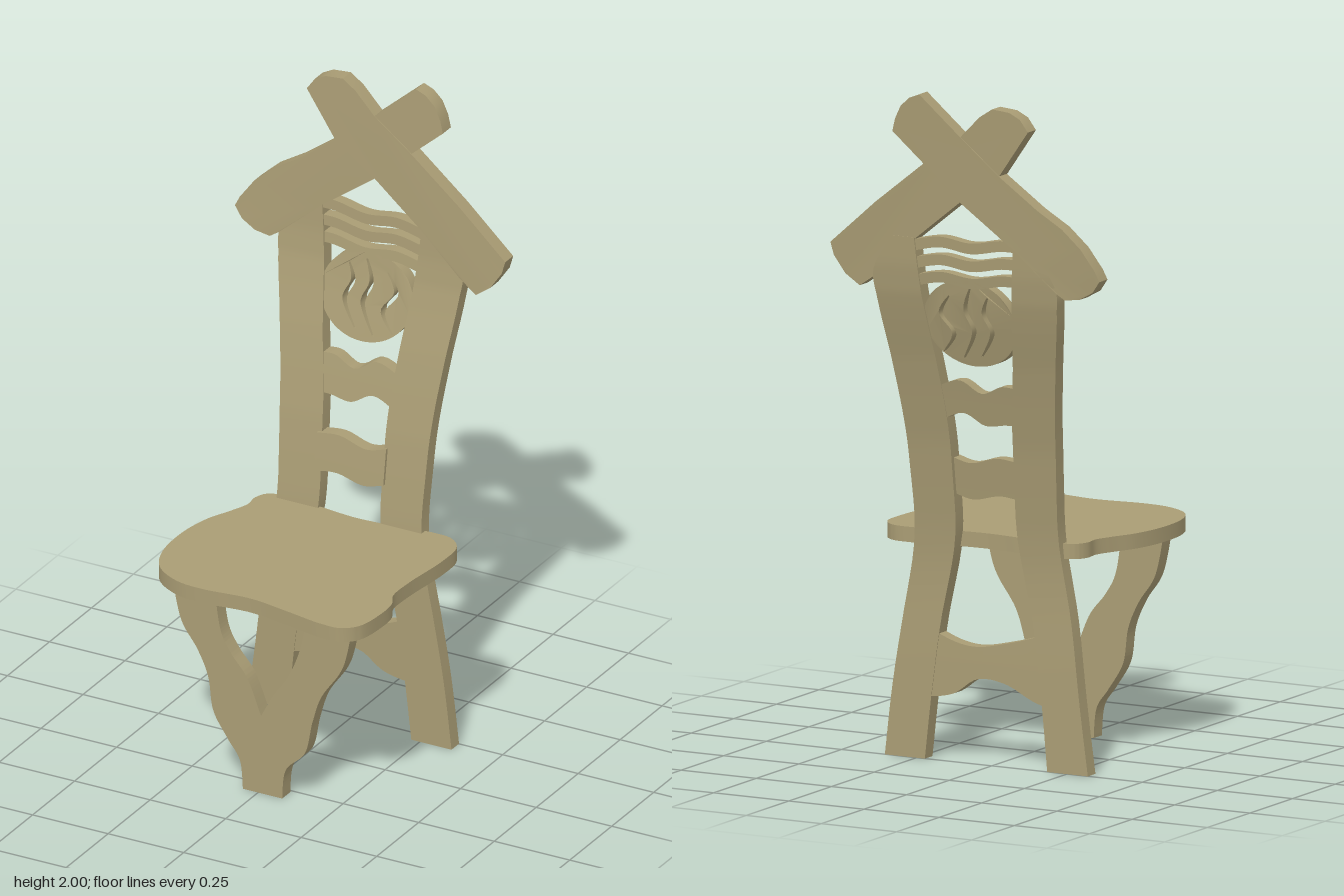
import * as THREE from 'three';
import { toCreasedNormals } from 'three/addons/utils/BufferGeometryUtils.js';

const wood = new THREE.MeshStandardMaterial({ color: 0xa99c74 });
const T = 0.045; // board thickness

// Centre line of the backrest in side view: [y, z]
const spine = [[0, -0.229], [0.3, -0.226], [0.5, -0.221], [0.6, -0.223], [0.7, -0.233], [0.82, -0.25],
  [0.95, -0.27], [1.08, -0.298], [1.2, -0.325], [1.32, -0.358], [1.4, -0.377], [1.48, -0.388], [2, -0.42]];

function spineZ(y) {
  let i = 0;
  while (i < spine.length - 2 && y > spine[i + 1][0]) i++;
  const [y0, z0] = spine[i], [y1, z1] = spine[i + 1];
  return z0 + (z1 - z0) * (y - y0) / (y1 - y0);
}

function addMesh(parent, name, geometry, crease = 0.6) {
  const mesh = new THREE.Mesh(toCreasedNormals(geometry, crease), wood);
  mesh.name = name;
  parent.add(mesh);
  return mesh;
}

// Move every vertex by a rule
function warp(geometry, rule) {
  const p = geometry.attributes.position, v = new THREE.Vector3();
  for (let i = 0; i < p.count; i++) {
    rule(v.fromBufferAttribute(p, i));
    p.setXYZ(i, v.x, v.y, v.z);
  }
  return geometry;
}

const bend = (g, shift = 0) => warp(g, v => { v.z += spineZ(v.y) + shift; });
const vec2 = pts => pts.map(([x, y]) => new THREE.Vector2(x, y));

function extrude(shape, depth = T) {
  return new THREE.ExtrudeGeometry(shape, { depth, bevelEnabled: false, curveSegments: 40 })
    .translate(0, 0, -depth / 2);
}

// Smooth curve through [s, low, high] cross-sections
const sectionCurve = rows => new THREE.CatmullRomCurve3(rows.map(r => new THREE.Vector3(...r)));

// Upright post from rows of [y, left x, right x]
function post(rows) {
  const curve = sectionCurve(rows);
  const g = warp(new THREE.BoxGeometry(1, 1, T, 1, 48, 1), v => {
    const s = curve.getPoint(v.y + 0.5);
    v.set(THREE.MathUtils.lerp(s.y, s.z, v.x + 0.5), s.x, v.z);
  });
  return bend(g);
}

// Cross slat from rows of [x, bottom y, top y]
function slat(rows, shift = 0, depth = T - 0.004) {
  const curve = sectionCurve(rows);
  const g = warp(new THREE.BoxGeometry(1, 1, depth, 24, 4, 1), v => {
    const s = curve.getPoint(v.x + 0.5);
    v.set(s.x, THREE.MathUtils.lerp(s.y, s.z, v.y + 0.5), v.z);
  });
  return bend(g, shift);
}

// Wavy slit outline around a centre line
function slit(pts) {
  const mid = new THREE.SplineCurve(vec2(pts)).getPoints(16), n = mid.length - 1;
  const side = s => mid.map((p, i) => new THREE.Vector2(p.x + s * 0.008 * Math.sin(Math.PI * (0.1 + 0.8 * i / n)), p.y));
  return new THREE.Path([...side(-1), ...side(1).reverse()]);
}

export function createModel() {
  const chair = new THREE.Group();
  chair.name = 'chair';
  const back = new THREE.Group();
  back.name = 'backrest';
  chair.add(back);

  // Seat: free-form plank
  const outline = [[-0.28, -0.18], [-0.278, -0.13], [-0.3, -0.07], [-0.335, 0.01], [-0.355, 0.13], [-0.343, 0.265],
    [-0.3, 0.35], [-0.215, 0.402], [-0.13, 0.412], [0.025, 0.398], [0.158, 0.419], [0.28, 0.441], [0.345, 0.439],
    [0.387, 0.4], [0.404, 0.3], [0.4, 0.23], [0.377, 0.18], [0.377, 0.085], [0.394, -0.085], [0.387, -0.18],
    [0.345, -0.224], [0.28, -0.231], [0.18, -0.217], [0.04, -0.206], [-0.08, -0.218], [-0.22, -0.231], [-0.262, -0.217]];
  const seatCurve = new THREE.CatmullRomCurve3(outline.map(([x, z]) => new THREE.Vector3(x, -z, 0)), true);
  const seatShape = new THREE.Shape(seatCurve.getPoints(160).map(p => new THREE.Vector2(p.x, p.y)));
  addMesh(chair, 'seat', extrude(seatShape).rotateX(-Math.PI / 2).translate(0, 0.6515, 0));

  // Front leg: one V-shaped board
  const v = new THREE.Shape();
  v.moveTo(-0.285, 0.635);
  v.splineThru(vec2([[-0.255, 0.5], [-0.2, 0.415], [-0.165, 0.335], [-0.148, 0.23], [-0.1, 0.15], [-0.06, 0.09], [-0.05, 0]]));
  v.lineTo(0.08, 0);
  v.splineThru(vec2([[0.092, 0.095], [0.155, 0.165], [0.18, 0.27], [0.21, 0.36], [0.27, 0.45], [0.295, 0.52], [0.315, 0.635]]));
  v.lineTo(0.167, 0.635);
  v.splineThru(vec2([[0.14, 0.5], [0.1, 0.4], [0.05, 0.325], [0.01, 0.25]]));
  v.splineThru(vec2([[-0.035, 0.36], [-0.09, 0.43], [-0.125, 0.5], [-0.145, 0.635]]));
  addMesh(chair, 'frontLeg', extrude(v, 0.048).translate(0, 0, 0.283));

  // Two posts running from the feet to the gable
  addMesh(back, 'rightPost', post([[0, -0.32, -0.185], [0.2, -0.292, -0.165], [0.42, -0.265, -0.135], [0.67, -0.225, -0.088],
    [0.85, -0.23, -0.09], [1.02, -0.243, -0.1], [1.2, -0.267, -0.125], [1.38, -0.298, -0.147], [1.46, -0.3, -0.155], [1.58, -0.22, -0.165]]));
  addMesh(back, 'leftPost', post([[0, 0.222, 0.355], [0.2, 0.2, 0.332], [0.42, 0.17, 0.297], [0.67, 0.12, 0.255],
    [0.85, 0.115, 0.255], [1.02, 0.116, 0.262], [1.2, 0.13, 0.28], [1.38, 0.148, 0.3], [1.46, 0.155, 0.305], [1.57, 0.165, 0.24]]));

  // Stretcher and ladder slats
  addMesh(back, 'stretcher', slat([[-0.22, 0.18, 0.42], [-0.14, 0.2, 0.39], [-0.04, 0.245, 0.362], [0.05, 0.25, 0.345],
    [0.13, 0.2, 0.355], [0.24, 0.18, 0.4]]));
  addMesh(back, 'lowerSlat', slat([[-0.105, 0.79, 0.905], [-0.03, 0.798, 0.912], [0.06, 0.78, 0.89], [0.125, 0.795, 0.905]], 0.012));
  addMesh(back, 'middleSlat', slat([[-0.15, 1.02, 1.13], [-0.08, 1.02, 1.138], [-0.01, 1.012, 1.11], [0.06, 1.045, 1.145], [0.15, 1.01, 1.115]]));
  for (const y of [1.555, 1.502, 1.45]) {
    addMesh(back, 'wavySlat', slat([[-0.18, y, y + 0.031], [-0.12, y - 0.001, y + 0.031], [-0.02, y - 0.018, y + 0.014],
      [0.08, y - 0.007, y + 0.025], [0.18, y - 0.027, y + 0.007]], 0, 0.036));
  }

  // Oval panel with three wavy slits
  const oval = new THREE.Shape();
  oval.absellipse(0, 1.325, 0.152, 0.132, 0, Math.PI * 2);
  oval.holes.push(
    slit([[-0.068, 1.41], [-0.05, 1.36], [-0.07, 1.3], [-0.025, 1.225]]),
    slit([[-0.012, 1.435], [0.01, 1.365], [-0.01, 1.3], [0.036, 1.215]]),
    slit([[0.06, 1.405], [0.094, 1.35], [0.058, 1.29], [0.1, 1.23]]));
  addMesh(back, 'ovalPanel', bend(extrude(oval, 0.036)));

  // Two crossed gable boards
  const ascending = new THREE.Shape(vec2([[-0.45, 1.497], [-0.435, 1.527], [-0.39, 1.588], [-0.33, 1.642], [-0.25, 1.69], [-0.125, 1.78],
    [0, 1.885], [0.132, 2], [0.165, 1.987], [0.195, 1.96], [0.215, 1.92], [0.225, 1.882], [0.125, 1.795], [0.008, 1.69],
    [-0.165, 1.565], [-0.3, 1.45], [-0.33, 1.43], [-0.38, 1.437], [-0.425, 1.462]]).reverse());
  const descending = new THREE.Shape(vec2([[-0.225, 1.92], [-0.2, 1.955], [-0.165, 1.973], [-0.108, 1.978], [-0.065, 1.95], [0, 1.885],
    [0.125, 1.795], [0.29, 1.665], [0.445, 1.53], [0.435, 1.492], [0.4, 1.44], [0.355, 1.408], [0.3, 1.445],
    [0.165, 1.565], [0.008, 1.69], [-0.125, 1.78]]).reverse());
  addMesh(back, 'rightGableBoard', bend(extrude(ascending, 0.048)));
  addMesh(back, 'leftGableBoard', bend(extrude(descending, 0.048), 0.003));

  return chair;
}
